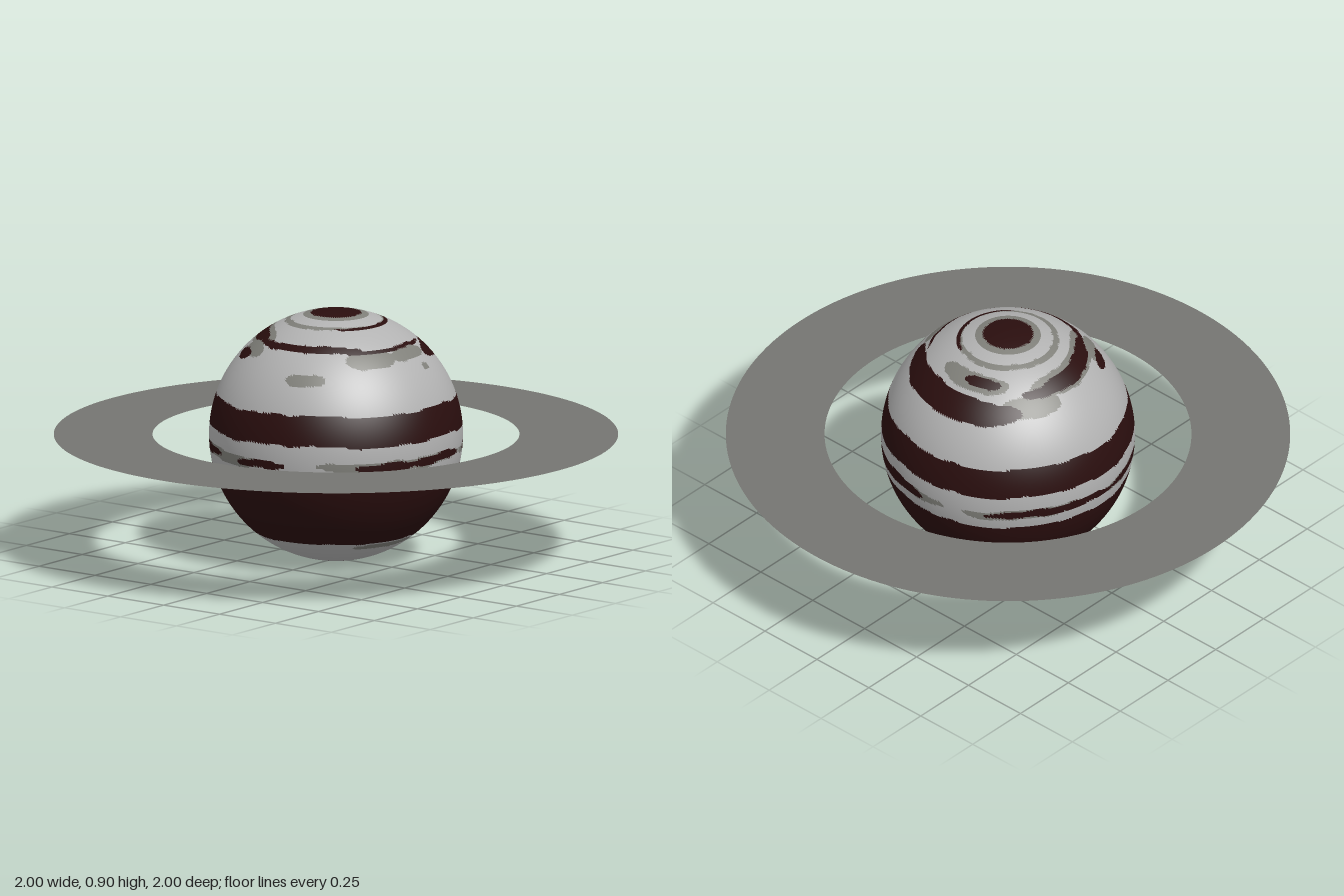
import * as THREE from 'three';

const R = 0.45;
const LIGHT = 0, DARK = 1, GREY = 2;

// Full bands: [polar angle from north, to, colour], in degrees
const BANDS = [
  [0, 11.5, DARK], [11.5, 15, GREY],
  [70.5, 84.5, DARK], [101.5, 139, DARK],
  [166, 170, DARK], [170, 173, GREY], [173, 177.5, DARK], [177.5, 180, GREY],
];

// Storm patches: [colour, longitude, half width, polar angle, half height]; later ones lie on top
const NORTH_PATCHES = [
  [GREY, 180, 178, 22.3, 1.5], [DARK, 5, 60, 23, 1.1],
  [GREY, -160, 50, 35, 6], [GREY, 148, 22, 43, 5], [GREY, 100, 34, 32, 4.5],
  [GREY, -28, 18, 43, 5], [GREY, 5, 18, 43, 3.5], [GREY, -70, 12, 54, 3],
  [GREY, -125, 14, 43, 4], [GREY, 12, 3, 52, 2],
  [DARK, -160, 40, 35.5, 4], [DARK, -80, 48, 37, 2.2], [DARK, -5, 40, 38.8, 1.1],
  [DARK, 82, 60, 45.2, 6.3], [DARK, 110, 17, 31.5, 2.5], [DARK, -132, 10, 47, 3],
  [DARK, 165, 22, 37, 2.5],
];
const SOUTH_PATCHES = [
  [GREY, -20, 42, 94, 2.6], [GREY, 62, 40, 94, 2.8], [GREY, 145, 34, 94, 2.6],
  [GREY, -130, 52, 94, 2.6],
  [DARK, -28, 16, 94, 1.9], [DARK, 2, 18, 94, 2], [DARK, 60, 30, 94, 3.2],
  [DARK, 155, 34, 94, 2], [DARK, -145, 28, 94, 2.2], [DARK, -90, 14, 94, 1.8],
  [GREY, 133, 9, 120.5, 0.9], [GREY, 165, 15, 146, 3.5], [GREY, -12, 28, 142, 2.2],
];
const PATCHES = [...NORTH_PATCHES, ...SOUTH_PATCHES];

// Colour of the cloud cover at a longitude and polar angle
function cloudColour(lon, polar) {
  const a = THREE.MathUtils.degToRad(lon);
  const fade = Math.sin(THREE.MathUtils.degToRad(polar));
  const p = polar + fade * (0.5 * Math.sin(5 * a + 1) + 0.35 * Math.sin(11 * a) + 0.25 * Math.sin(23 * a + polar * 0.4));
  let colour = LIGHT;
  for (const [from, to, c] of BANDS) if (p >= from && p < to) colour = c;
  for (const [c, lon0, width, polar0, height] of PATCHES) {
    const d = THREE.MathUtils.euclideanModulo(lon - lon0 + 180, 360) - 180;
    if (Math.abs(d / width) ** 3 + ((p - polar0) / height) ** 2 < 1) colour = c;
  }
  return colour;
}

// Smooth sphere whose faces are sorted into one group per cloud colour
function planetGeometry() {
  const geometry = new THREE.SphereGeometry(R, 240, 180);
  const pos = geometry.attributes.position;
  const index = geometry.index.array;
  const faces = [[], [], []];
  const centre = new THREE.Vector3(), v = new THREE.Vector3();
  for (let i = 0; i < index.length; i += 3) {
    centre.set(0, 0, 0);
    for (let k = 0; k < 3; k++) centre.add(v.fromBufferAttribute(pos, index[i + k]));
    centre.normalize();
    const lon = THREE.MathUtils.radToDeg(Math.atan2(centre.x, centre.z));
    const polar = THREE.MathUtils.radToDeg(Math.acos(centre.y));
    faces[cloudColour(lon, polar)].push(index[i], index[i + 1], index[i + 2]);
  }
  geometry.setIndex(faces.flat());
  let start = 0;
  faces.forEach((list, material) => {
    geometry.addGroup(start, list.length, material);
    start += list.length;
  });
  return geometry;
}

export function createModel() {
  const material = (name, color, side = THREE.FrontSide) => {
    const m = new THREE.MeshStandardMaterial({ color, side });
    m.name = name;
    return m;
  };
  const model = new THREE.Group();
  model.name = 'ringedPlanet';

  // Banded planet
  const planet = new THREE.Mesh(planetGeometry(), [
    material('paleCloud', 0xb2b2b2),
    material('darkMaroonCloud', 0x2a0e0e),
    material('greyCloud', 0x80807a),
  ]);
  planet.name = 'planet';
  planet.position.y = R;

  // Flat ring around the equator
  const ring = new THREE.Mesh(
    new THREE.RingGeometry(0.65, 1, 160),
    material('ringGrey', 0x757571, THREE.DoubleSide),
  );
  ring.name = 'ring';
  ring.rotation.x = -Math.PI / 2;
  ring.position.y = R;

  model.add(planet, ring);
  return model;
}
